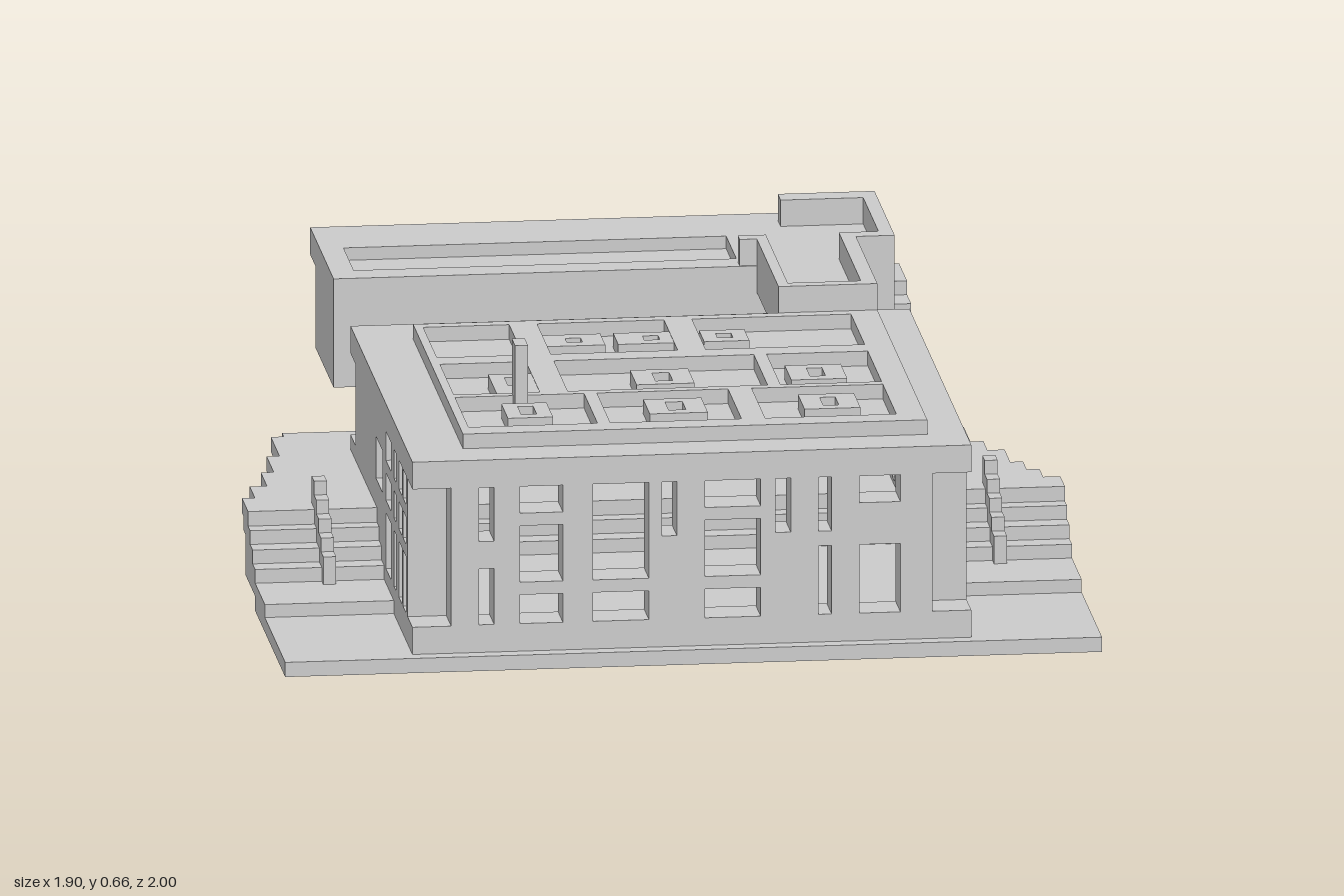
import * as THREE from 'three';

const material = new THREE.MeshStandardMaterial({ color: 0xcccccc, flatShading: true });

export function createModel() {
  const model = new THREE.Group();

  const add = (name, geometry) => {
    const mesh = new THREE.Mesh(geometry, material);
    mesh.name = name;
    model.add(mesh);
    return mesh;
  };
  const box = (name, x0, x1, y0, y1, z0, z1) => {
    const g = new THREE.BoxGeometry(x1 - x0, y1 - y0, z1 - z0);
    return add(name, g.translate((x0 + x1) / 2, (y0 + y1) / 2, (z0 + z1) / 2));
  };
  const rect = (T, a0, a1, b0, b1) => {
    const s = new T();
    s.moveTo(a0, b0);
    s.lineTo(a1, b0);
    s.lineTo(a1, b1);
    s.lineTo(a0, b1);
    s.closePath();
    return s;
  };
  const extrude = (shape, depth) =>
    new THREE.ExtrudeGeometry(shape, { depth, bevelEnabled: false });
  // Upright panel facing z, with rectangular holes [x0, x1, y0, y1]
  const wallZ = (name, x0, x1, y0, y1, z0, z1, holes) => {
    const s = rect(THREE.Shape, x0, x1, y0, y1);
    holes.forEach(h => s.holes.push(rect(THREE.Path, ...h)));
    return add(name, extrude(s, z1 - z0).translate(0, 0, z0));
  };
  // Upright panel facing x, with holes [z0, z1, y0, y1]
  const wallX = (name, x0, x1, y0, y1, z0, z1, holes) => {
    const s = rect(THREE.Shape, -z1, -z0, y0, y1);
    holes.forEach(h => s.holes.push(rect(THREE.Path, -h[1], -h[0], h[2], h[3])));
    return add(name, extrude(s, x1 - x0).rotateY(Math.PI / 2).translate(x0, 0, 0));
  };
  // Flat slab from an outline of [x, z] points, with holes [x0, x1, z0, z1]
  const slab = (name, points, y0, y1, holes = []) => {
    const s = new THREE.Shape(points.map(([x, z]) => new THREE.Vector2(x, -z)));
    holes.forEach(h => s.holes.push(rect(THREE.Path, h[0], h[1], -h[3], -h[2])));
    return add(name, extrude(s, y1 - y0).rotateX(-Math.PI / 2).translate(0, y0, 0));
  };
  const corners = (x0, x1, z0, z1) => [[x0, z0], [x1, z0], [x1, z1], [x0, z1]];

  // Ground: front plate, broad steps and the rear terrace with stepped edges
  box('frontPlate', -0.95, 0.95, 0, 0.035, 0.41, 1);
  box('lowerStep', -0.95, 0.95, 0.035, 0.066, 0.22, 0.6);
  [0.41, 0.36, 0.31].forEach((z, i) =>
    box('terraceStep', -0.95, 0.95, 0.066 + i * 0.033, 0.099 + i * 0.033, i < 2 ? 0.22 : 0.18, z));
  slab('terrace', [
    [-0.95, 0.27], [-0.95, 0.15], [-0.92, 0.15], [-0.92, 0.05], [-0.88, 0.05], [-0.88, -0.07],
    [-0.85, -0.07], [-0.85, -0.21], [-0.82, -0.21], [-0.82, -0.38], [-0.79, -0.38], [-0.79, -0.41],
    [0.16, -0.41], [0.16, -0.45], [0.23, -0.45], [0.23, -0.48], [0.26, -0.48], [0.26, -0.51],
    [0.29, -0.51], [0.29, -0.54], [0.75, -0.54], [0.75, -0.28], [0.78, -0.28], [0.78, -0.15],
    [0.81, -0.15], [0.81, -0.07], [0.85, -0.07], [0.85, 0.04], [0.88, 0.04], [0.88, 0.11],
    [0.91, 0.11], [0.91, 0.18], [0.95, 0.18], [0.95, 0.27],
  ], 0.165, 0.2);
  box('sideLanding', 0.56, 0.75, 0.2, 0.235, -0.54, -0.25);
  box('sideBlock', 0.65, 0.68, 0.2, 0.235, 0.15, 0.24);

  // Stepped railings on both sides of the house
  for (const side of [-1, 1]) {
    for (let i = 0; i < 5; i++) {
      const z1 = 0.44 - i * 0.046, top = 0.132 + i * 0.033;
      box('railing', side * 0.78 - 0.015, side * 0.78 + 0.015, top - 0.07, top, z1 - 0.046, z1);
    }
  }

  // House plinth and rear sill
  box('plinth', -0.65, 0.65, 0.035, 0.1, 0.25, 0.965);
  box('rearSill', -0.65, 0.65, 0.2, 0.235, -0.25, -0.15);

  // Thick front wall with windows
  const front = [];
  const column = (x0, x1, ...rows) => rows.forEach(r => front.push([x0, x1, ...r]));
  const top = [0.365, 0.429], high = [0.3, 0.429], middle = [0.2, 0.335], low = [0.101, 0.17];
  column(-0.495, -0.46, high, [0.101, 0.235]);
  column(-0.4, -0.3, top, middle, low);
  column(-0.23, -0.1, [0.2, 0.429], low);
  column(-0.07, -0.035, high);
  column(0.03, 0.16, top, middle, low);
  column(0.195, 0.23, high);
  column(0.295, 0.325, high, [0.101, 0.265]);
  column(0.39, 0.485, top, [0.101, 0.265]);
  wallZ('frontWall', -0.56, 0.56, 0.1, 0.43, 0.87, 0.965, front);

  // Side walls, leaving the house corners notched
  const grid = [];
  for (const [z0, z1] of [[0.78, 0.84], [0.7, 0.765], [0.605, 0.645], [0.445, 0.545]]) {
    for (const [y0, y1] of [[0.101, 0.235], [0.265, 0.33], [0.36, 0.429]]) grid.push([z0, z1, y0, y1]);
  }
  grid.push([0.25, 0.38, 0.265, 0.365]);
  const rightOnly = [
    [0.18, 0.22, 0.21, 0.4], [-0.02, 0.12, 0.235, 0.429],
    [-0.08, -0.04, 0.33, 0.365], [-0.08, -0.04, 0.235, 0.265],
  ];
  wallX('leftWall', 0.56, 0.65, 0.1, 0.43, -0.15, 0.87, [...grid, ...rightOnly]);
  wallX('rightWall', -0.65, -0.56, 0.1, 0.43, -0.15, 0.87, grid);

  // Rear wall with a row of narrow windows
  const rear = [];
  for (let i = 0; i < 9; i++) {
    const x = -0.48 + i * 0.115, w = i % 3 === 1 ? 0.065 : 0.04;
    rear.push([x, x + w, i % 3 === 2 ? 0.3 : 0.236, 0.429]);
  }
  wallZ('rearWall', -0.56, 0.56, 0.235, 0.43, -0.25, -0.15, rear);

  // Main roof: slab and coffered upper layer
  box('roofSlab', -0.65, 0.65, 0.43, 0.495, -0.25, 0.965);
  slab('cofferedRoof', corners(-0.52, 0.56, -0.12, 0.86), 0.495, 0.53, [
    [-0.5, -0.3, -0.09, 0.18], [-0.235, 0.06, -0.09, 0.18], [0.125, 0.495, -0.09, 0.18],
    [-0.5, -0.3, 0.24, 0.51], [-0.235, 0.23, 0.24, 0.51], [0.26, 0.495, 0.24, 0.51],
    [-0.5, -0.2, 0.535, 0.8], [-0.17, 0.135, 0.535, 0.8], [0.19, 0.495, 0.535, 0.8],
  ]);

  // Hollow skylights standing in the coffers
  const skylight = (x0, x1, z0, z1, hx, hz) => {
    const x = (x0 + x1) / 2, z = (z0 + z1) / 2;
    slab('skylight', corners(x0, x1, z0, z1), 0.495, 0.529, [[x - hx, x + hx, z - hz, z + hz]]);
  };
  for (const z of [0.34, 0.6]) {
    skylight(-0.4, -0.295, z, z + 0.13, 0.018, 0.035);
    skylight(-0.07, 0.065, z, z + 0.13, 0.02, 0.035);
    skylight(0.29, 0.42, z, z + 0.13, 0.018, 0.035);
  }
  skylight(-0.235, -0.1, 0.01, 0.11, 0.018, 0.018);
  skylight(-0.07, 0.095, 0.01, 0.11, 0.018, 0.018);
  skylight(0.13, 0.235, 0.01, 0.11, 0.018, 0.018);
  box('chimneyFoot', -0.4, -0.3, 0.495, 0.529, 0.47, 0.51);
  box('chimney', -0.365, -0.335, 0.495, 0.66, 0.51, 0.575);

  // Rear wing: overhanging roof with a sunken bed, body and supporting tower
  box('wingRoof', -0.655, 0.65, 0.465, 0.5, -0.93, -0.54);
  box('wingOverhang', -0.655, 0.5, 0.465, 0.5, -1, -0.93);
  slab('wingRoofRim', [[-0.655, -1], [0.52, -1], [0.52, -0.93], [0.65, -0.93], [0.65, -0.54], [-0.655, -0.54]],
    0.5, 0.53, [[-0.6, 0.29, -0.81, -0.61]]);
  box('wingBody', -0.655, 0.65, 0.27, 0.465, -0.9, -0.54);
  box('wingTower', 0.3, 0.65, 0.2, 0.27, -0.9, -0.54);

  // Bridge between the roofs and the parapet that follows its edges
  box('bridge', 0.33, 0.56, 0.465, 0.53, -0.54, -0.12);
  slab('parapetLeft', [
    [0.56, -0.12], [0.56, -0.54], [0.65, -0.54], [0.65, -0.935], [0.425, -0.935], [0.425, -0.88],
    [0.617, -0.88], [0.617, -0.58], [0.525, -0.58], [0.525, -0.15], [0.355, -0.15], [0.355, -0.58],
    [0.29, -0.58], [0.29, -0.545], [0.33, -0.545], [0.33, -0.12],
  ], 0.53, 0.593);

  // Outdoor stair climbing the tower, then turning onto the wing roof
  [-0.54, -0.58, -0.635, -0.685, -0.765, -0.845].forEach((z, i, all) => {
    const y = 0.235 + i * 0.033;
    box('towerStep', 0.65, 0.715, y - 0.066, y, (all[i + 1] ?? -0.93) - 0.02, z);
  });
  box('stairLanding', 0.65, 0.715, 0.365, 0.4, -1, -0.9);
  for (let i = 0; i < 4; i++) {
    const x1 = 0.65 - i * 0.033, y = 0.432 + i * 0.0325;
    box('upperStep', x1 - 0.04, x1, y - 0.066, y, -1, -0.9);
  }

  return model;
}
